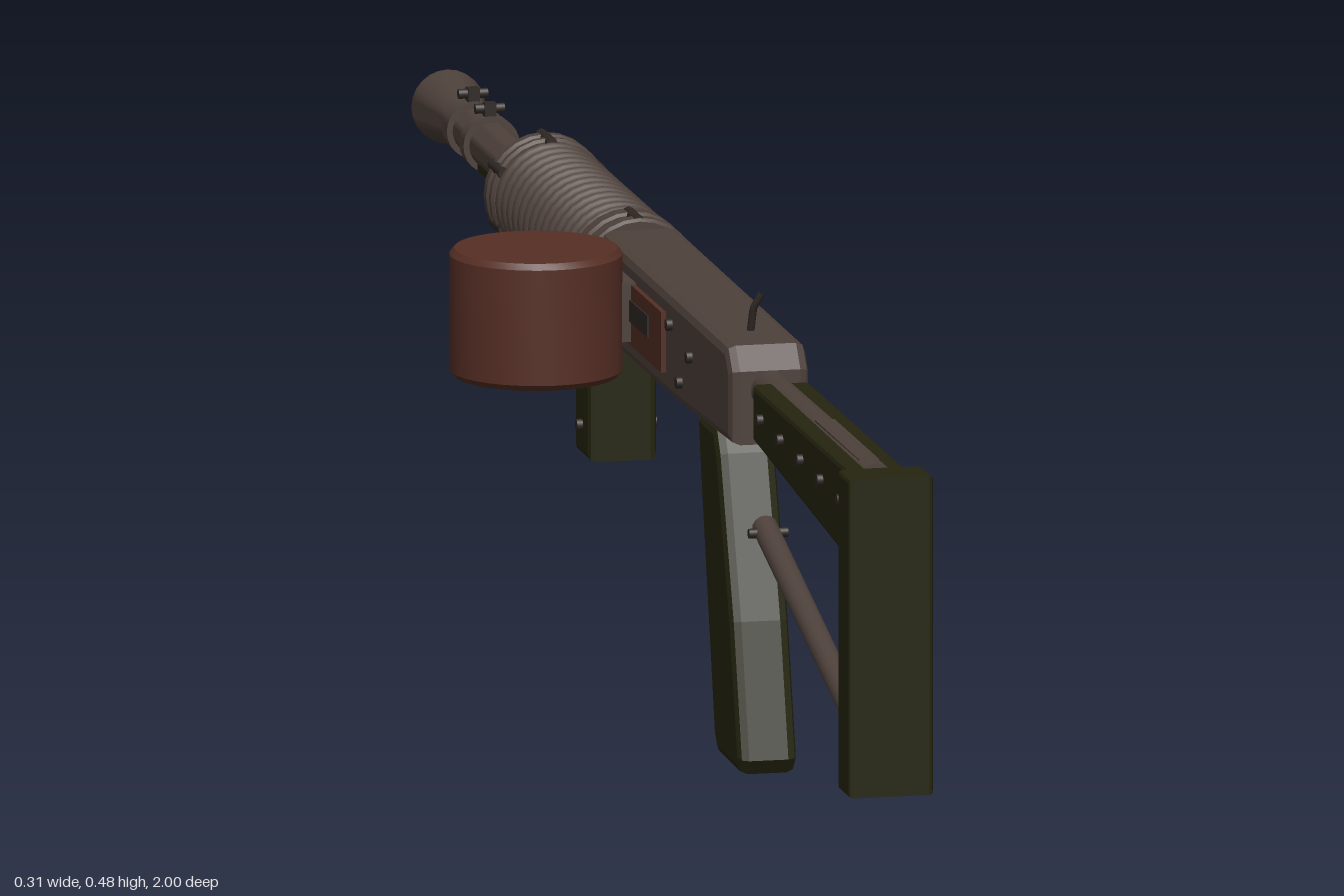
import * as THREE from 'three';
import { toCreasedNormals } from 'three/addons/utils/BufferGeometryUtils.js';

const CX = 0.07, AXIS_Y = 0.39;

export function createModel() {
  const model = new THREE.Group();
  const material = (name, color) => {
    const m = new THREE.MeshStandardMaterial({ color });
    m.name = name;
    return m;
  };
  const metal = material('worn brown steel', 0x4e413b);
  const rust = material('rust red', 0x552e24);
  const green = material('dark olive', 0x25250f);
  const dark = material('dark steel', 0x2f2824);

  const add = (name, geometry, mat, x = 0, y = 0, z = 0) => {
    const mesh = new THREE.Mesh(geometry, mat);
    mesh.name = name;
    mesh.position.set(x, y, z);
    model.add(mesh);
    return mesh;
  };
  const box = (name, mat, w, h, d, x, y, z) => add(name, new THREE.BoxGeometry(w, h, d), mat, x, y, z);

  // Side outline of [z, y] points, extruded across x with chamfered edges
  const sideExtrude = (name, mat, points, width, bevel) => {
    const shape = new THREE.Shape(points.map(p => new THREE.Vector2(...p)));
    const g = new THREE.ExtrudeGeometry(shape, {
      depth: width - 2 * bevel, bevelEnabled: bevel > 0, bevelThickness: bevel,
      bevelSize: bevel, bevelOffset: -bevel, bevelSegments: 2,
    });
    g.translate(0, 0, -(width - 2 * bevel) / 2).rotateY(-Math.PI / 2);
    return add(name, g, mat, CX, 0, 0);
  };

  // Turned part from [radius, distance forward] points, along the bore
  const turned = (name, mat, points, y = AXIS_Y, segments = 24) => {
    const g = new THREE.LatheGeometry(points.map(p => new THREE.Vector2(...p)), segments);
    g.rotateX(-Math.PI / 2);
    return add(name, toCreasedNormals(g, 0.6), mat, CX, y, 0);
  };

  // Short cylinder lying along x
  const stud = (name, mat, r, length, x, y, z, segments = 10) =>
    add(name, new THREE.CylinderGeometry(r, r, length, segments).rotateZ(Math.PI / 2), mat, x, y, z);

  const tube = (name, mat, points, radius, segments = 24) => {
    const path = new THREE.CurvePath();
    const v = points.map(p => new THREE.Vector3(...p));
    for (let i = 1; i < v.length; i++) path.add(new THREE.LineCurve3(v[i - 1], v[i]));
    return add(name, new THREE.TubeGeometry(path, segments, radius, 8), mat);
  };

  // Rod with closed ends between two points
  const rod = (name, mat, a, b, radius) => {
    const p = new THREE.Vector3(...a), q = new THREE.Vector3(...b);
    const mesh = add(name, new THREE.CylinderGeometry(radius, radius, p.distanceTo(q), 14), mat);
    mesh.position.copy(p).add(q).multiplyScalar(0.5);
    mesh.quaternion.setFromUnitVectors(new THREE.Vector3(0, 1, 0), q.sub(p).normalize());
    return mesh;
  };

  // Receiver with sloped rear
  sideExtrude('receiver', metal, [
    [0.455, 0.34], [0.455, 0.415], [0.435, 0.438], [-0.13, 0.44], [-0.13, 0.333], [0.2, 0.333],
  ], 0.082, 0.01);

  // Side panels, rails and pins
  for (const side of [1, -1]) {
    const x = CX + side * 0.042;
    box('sidePanel', rust, 0.008, 0.062, 0.195, x, 0.387, 0.068);
    box('panelSlot', dark, 0.006, 0.022, 0.12, x + side * 0.003, 0.392, 0.05);
    for (const [y, z] of [[0.395, 0.28], [0.36, 0.235], [0.41, 0.19], [0.36, -0.07], [0.41, -0.07]])
      stud('receiverPin', dark, 0.006, 0.01, x, y, z);
  }
  stud('chargingCollar', metal, 0.009, 0.03, 0.118, 0.373, 0.155);
  stud('chargingKnob', metal, 0.014, 0.03, 0.138, 0.373, 0.155, 16);
  add('lowerCatch', new THREE.CylinderGeometry(0.01, 0.01, 0.025, 10), dark, 0.085, 0.325, 0.07);

  // Bent rear sight
  tube('rearSight', dark, [[CX, 0.435, 0.365], [CX + 0.002, 0.462, 0.37], [CX + 0.01, 0.478, 0.375]], 0.004, 8);

  // Drum magazine and its neck
  const drum = new THREE.LatheGeometry([
    [0, 0.325], [0.082, 0.325], [0.087, 0.331], [0.087, 0.449], [0.082, 0.455], [0, 0.455],
  ].map(p => new THREE.Vector2(...p)), 32);
  add('drumMagazine', toCreasedNormals(drum, 0.5), rust, -0.067, 0, 0);
  box('drumNeck', metal, 0.035, 0.06, 0.06, 0.027, 0.39, 0);

  // Barrel with flared, hollow muzzle
  turned('barrel', metal, [
    [0.023, 0.12], [0.023, 0.89], [0.025, 0.93], [0.037, 0.99], [0.037, 1.0],
    [0.03, 1.0], [0.015, 0.94], [0, 0.94],
  ]);
  for (const d of [0.81, 0.885]) {
    turned('barrelBand', metal, [[0.02, d - 0.01], [0.029, d - 0.01], [0.029, d + 0.01], [0.02, d + 0.01]]);
    box('bandLug', dark, 0.012, 0.016, 0.012, CX, AXIS_Y + 0.034, -d);
    stud('bandScrew', dark, 0.005, 0.03, CX, AXIS_Y + 0.036, -d);
  }
  box('barrelPad', green, 0.034, 0.028, 0.08, CX, 0.381, -0.75);

  // Cooling sleeve with ring fins and end flanges
  turned('sleeve', metal, [[0.02, 0.13], [0.05, 0.13], [0.05, 0.56], [0.02, 0.56]]);
  for (let i = 0; i < 14; i++)
    add('coolingRing', new THREE.TorusGeometry(0.052, 0.0075, 8, 28), metal, CX, AXIS_Y, -0.205 - i * 0.0245);
  for (const [a, b] of [[0.132, 0.152], [0.165, 0.19], [0.535, 0.548], [0.555, 0.572]]) {
    turned('sleeveFlange', metal, [[0.02, a], [0.058, a], [0.061, a + 0.003], [0.061, b - 0.003], [0.058, b], [0.02, b]]);
  }
  for (let i = 0; i < 6; i++) {
    const t = (i + 0.5) * Math.PI / 3;
    for (const z of [-0.16, -0.552]) {
      const bolt = new THREE.CylinderGeometry(0.006, 0.006, 0.05, 8).rotateX(Math.PI / 2);
      add('flangeBolt', bolt, dark, CX + Math.cos(t) * 0.057, AXIS_Y + Math.sin(t) * 0.057, z);
    }
  }

  // Front hand grip
  sideExtrude('foreGrip', green, [[-0.207, 0.345], [-0.275, 0.345], [-0.273, 0.188], [-0.207, 0.188]], 0.07, 0.007);
  for (const side of [1, -1])
    for (const y of [0.22, 0.27, 0.318])
      stud('foreGripBolt', dark, 0.006, 0.01, CX + side * 0.036, y, -0.24);

  // Raked pistol grip
  sideExtrude('pistolGrip', green, [
    [0.255, 0.335], [0.262, 0.29], [0.328, 0.018], [0.342, 0.002], [0.44, 0], [0.449, 0.015],
    [0.412, 0.15], [0.352, 0.31], [0.335, 0.335],
  ], 0.06, 0.01);

  // Trigger and guard
  tube('triggerGuard', metal, [
    [CX, 0.335, 0.16], [CX, 0.298, 0.16], [CX, 0.276, 0.18], [CX, 0.274, 0.275],
  ], 0.006);
  tube('trigger', dark, [[CX, 0.335, 0.23], [CX, 0.305, 0.222], [CX, 0.287, 0.232]], 0.005, 10);

  // Stock: tube, tapered arm, butt and lower strut
  rod('stockTube', metal, [CX, 0.395, 0.44], [CX, 0.397, 0.93], 0.02);
  sideExtrude('stockArm', green, [[0.505, 0.355], [0.955, 0.318], [0.955, 0.412], [0.505, 0.412]], 0.06, 0.005);
  box('stockTopStrip', metal, 0.02, 0.006, 0.2, CX, 0.412, 0.8);
  sideExtrude('buttPlate', green, [[0.95, 0.09], [1, 0.09], [1, 0.416], [0.95, 0.416]], 0.087, 0.004);
  rod('stockStrut', metal, [CX, 0.105, 0.96], [CX, 0.25, 0.43], 0.013);
  stud('strutPin', dark, 0.005, 0.04, CX, 0.247, 0.445);
  for (const side of [1, -1])
    for (let i = 0; i < 5; i++)
      stud('stockRivet', dark, 0.006, 0.012, CX + side * 0.03, 0.385 - i * 0.002, 0.55 + i * 0.09);

  return model;
}
